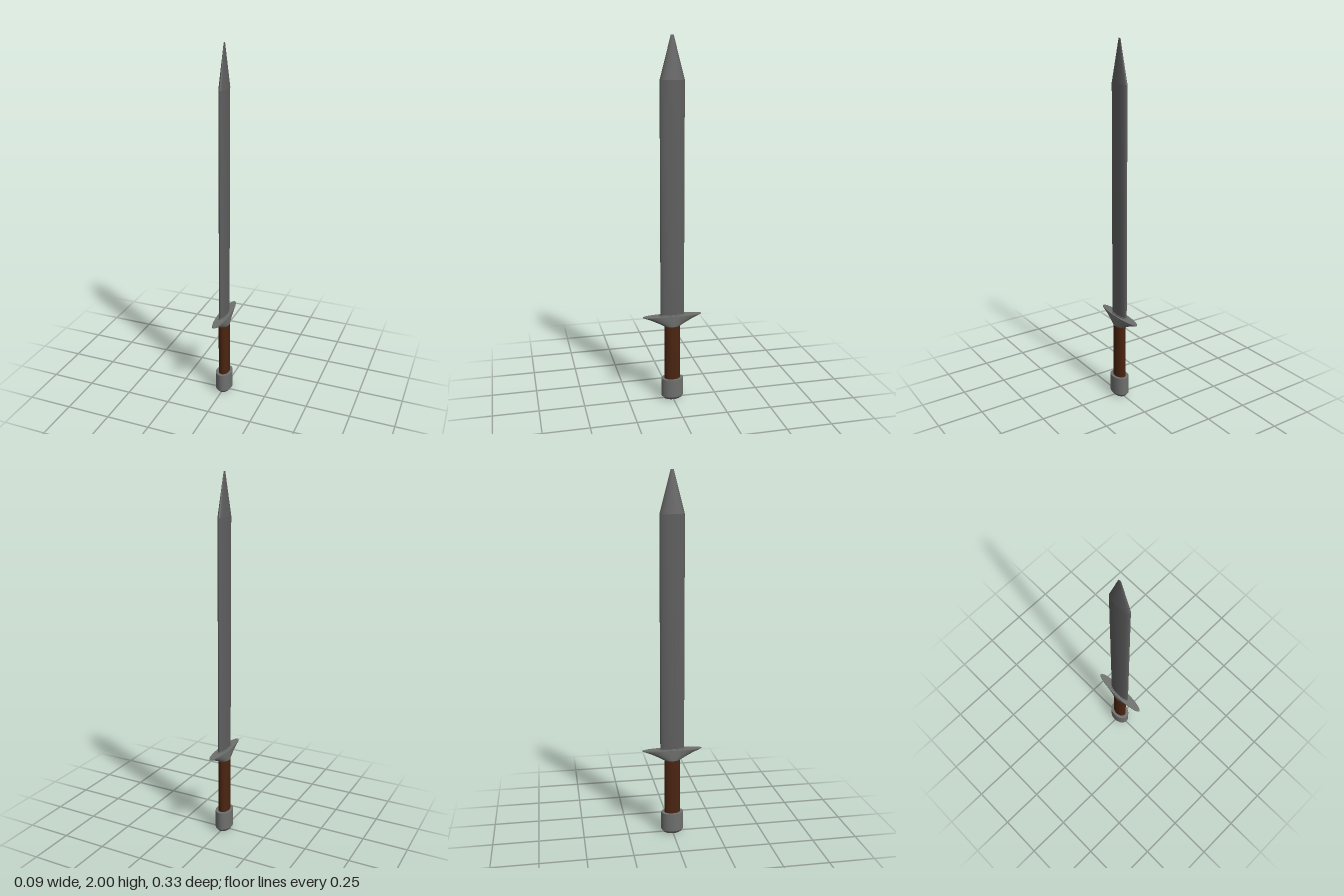
import * as THREE from 'three';
import { mergeVertices, mergeGeometries } from 'three/addons/utils/BufferGeometryUtils.js';

const STEEL = 0x5e5e5e, FITTING = 0x6e706e, LEATHER = 0x4a2410;

// One smooth band through elliptical rings [y, half width x, half width z], bottom to top
function band(rings) {
  const g = new THREE.LatheGeometry(rings.map(r => new THREE.Vector2(1, r[0])), 40);
  const p = g.attributes.position;
  for (let i = 0; i < p.count; i++) {
    const [y, rx, rz] = rings[i % rings.length];
    p.setXYZ(i, p.getX(i) * rx, y, p.getZ(i) * rz);
  }
  g.deleteAttribute('uv');
  g.deleteAttribute('normal');
  const welded = mergeVertices(g, 1e-5);
  welded.computeVertexNormals();
  return welded;
}

// Closed solid from several bands, with sharp edges between bands and flat end caps
function solid(name, color, bands) {
  const first = bands[0][0], last = bands.at(-1).at(-1);
  const all = [[[first[0], 0, 0], first], ...bands, [last, [last[0], 0, 0]]];
  const mesh = new THREE.Mesh(mergeGeometries(all.map(band)),
    new THREE.MeshStandardMaterial({ color }));
  mesh.name = name;
  return mesh;
}

export function createModel() {
  const sword = new THREE.Group();
  sword.name = 'sword';

  // Pommel: oval cap with a bevelled foot
  sword.add(solid('pommel', FITTING, [
    [[0, 0.034, 0.048], [0.017, 0.046, 0.063]],
    [[0.017, 0.046, 0.063], [0.12, 0.046, 0.063]],
  ]));

  // Grip
  sword.add(solid('grip', LEATHER, [[[0.11, 0.03, 0.044], [0.44, 0.03, 0.044]]]));

  // Guard: flares from the grip into two wings with a thin rim
  sword.add(solid('guard', FITTING, [
    [[0.432, 0.03, 0.045], [0.452, 0.031, 0.082], [0.472, 0.031, 0.122], [0.489, 0.031, 0.165]],
    [[0.489, 0.031, 0.165], [0.494, 0.031, 0.165]],
  ]));

  // Collar around the root of the blade
  sword.add(solid('collar', FITTING, [[[0.485, 0.022, 0.072], [0.499, 0.022, 0.072]]]));

  // Blade: long oval section tapering to a narrow blunt point
  sword.add(solid('blade', STEEL, [
    [[0.49, 0.018, 0.067], [1.775, 0.018, 0.067]],
    [[1.775, 0.018, 0.067], [2, 0.002, 0.008]],
  ]));

  return sword;
}
